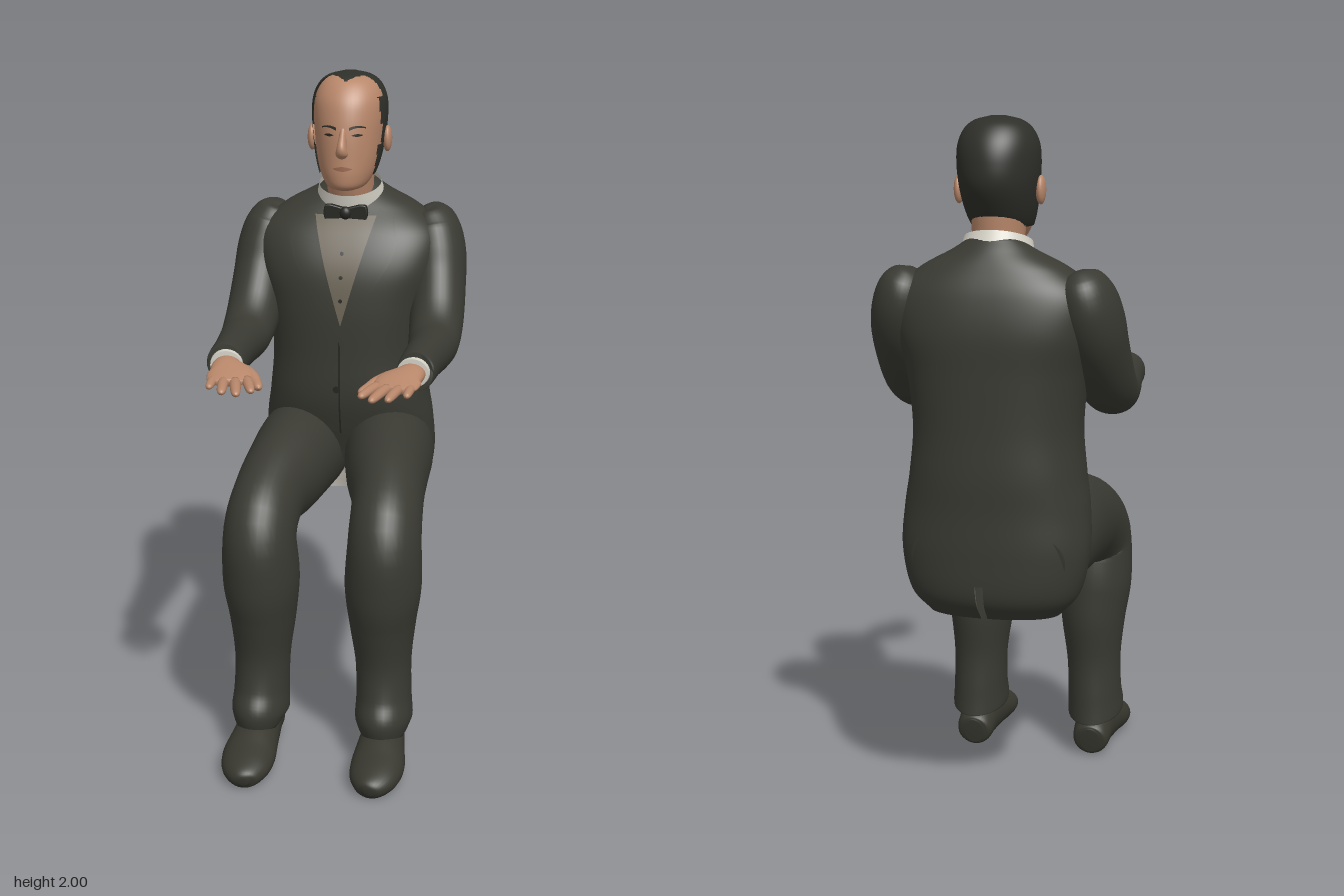
import * as THREE from 'three';

const mat = (name, color, side = THREE.FrontSide) => {
  const m = new THREE.MeshStandardMaterial({ color, side });
  m.name = name;
  return m;
};
const M = {
  suit: mat('suit cloth', 0x3a3a33, THREE.DoubleSide),
  shoe: mat('shoe leather', 0x37372f),
  skin: mat('skin', 0xb8876a),
  hair: mat('hair', 0x2f2f2a, THREE.DoubleSide),
  shirt: mat('shirt', 0xd2cfc4, THREE.DoubleSide),
  vest: mat('waistcoat and lining', 0x6c6456, THREE.DoubleSide),
  black: mat('tie and buttons', 0x262622, THREE.DoubleSide),
  lips: mat('lips', 0x98684f, THREE.DoubleSide),
};

// Smooth curves through rows of [x, y, z, radius across, radius deep, power]
function curves(rows) {
  const path = new THREE.CatmullRomCurve3(rows.map(r => new THREE.Vector3(r[0], r[1], r[2])), false, 'catmullrom');
  const size = new THREE.CatmullRomCurve3(rows.map(r => new THREE.Vector3(r[3], r[4], r[5] || 2)), false, 'catmullrom');
  return { path, size };
}

// Skin of superellipse rings, square to the path or level if flat
function loft(name, rows, material, o = {}) {
  const { segs = 28, rings = rows.length * 5, capStart = true, capEnd = true, flat = false, keep, move } = o;
  const { path, size } = curves(rows);
  const pos = [], idx = [], X = new THREE.Vector3(1, 0, 0);
  const pw = (c, e) => Math.sign(c) * Math.pow(Math.abs(c), e);
  for (let i = 0; i <= rings; i++) {
    const p = path.getPoint(i / rings), s = size.getPoint(i / rings);
    const t = flat ? new THREE.Vector3(0, 1, 0) : path.getTangent(i / rings);
    const u = X.clone().addScaledVector(t, -t.x).normalize(), v = t.clone().cross(u);
    for (let j = 0; j < segs; j++) {
      const a = j / segs * Math.PI * 2;
      const q = p.clone().addScaledVector(u, s.x * pw(Math.cos(a), 2 / s.z)).addScaledVector(v, s.y * pw(Math.sin(a), 2 / s.z));
      if (move) move(q);
      pos.push(q.x, q.y, q.z);
    }
  }
  for (let i = 0; i < rings; i++) for (let j = 0; j < segs; j++) {
    const a = i * segs + j, b = i * segs + (j + 1) % segs, c = b + segs, d = a + segs;
    const mid = k => (pos[a * 3 + k] + pos[b * 3 + k] + pos[c * 3 + k] + pos[d * 3 + k]) / 4;
    if (keep && !keep(mid(0), mid(1), mid(2))) continue;
    idx.push(a, b, d, b, c, d);
  }
  const cap = (start, flip) => {
    const n = pos.length / 3, c = [0, 0, 0];
    for (let j = 0; j < segs; j++) for (let k = 0; k < 3; k++) c[k] += pos[(start + j) * 3 + k] / segs;
    pos.push(...c);
    for (let j = 0; j < segs; j++) {
      const a = start + j, b = start + (j + 1) % segs;
      idx.push(...(flip ? [n, b, a] : [n, a, b]));
    }
  };
  if (capStart) cap(0, true);
  if (capEnd) cap(rings * segs, false);
  return surface(name, pos, idx, material);
}

function surface(name, pos, idx, material) {
  const g = new THREE.BufferGeometry();
  g.setAttribute('position', new THREE.Float32BufferAttribute(pos, 3));
  g.setIndex(idx);
  g.computeVertexNormals();
  return named(name, new THREE.Mesh(g, material));
}
function named(name, obj) { obj.name = name; return obj; }

// Thin sheet laid on the front of a flat loft; at(u, v) gives [x, y]
function patch(name, rows, material, off, at, nu = 10, nv = 20) {
  const { path, size } = curves(rows), pos = [], idx = [];
  for (let i = 0; i <= nv; i++) for (let j = 0; j <= nu; j++) {
    const [x, y] = at(j / nu, i / nv);
    let lo = 0, hi = 1;
    for (let k = 0; k < 24; k++) { const m = (lo + hi) / 2; if (path.getPoint(m).y < y) lo = m; else hi = m; }
    const s = size.getPoint(lo), r = Math.min(1, Math.abs(x) / s.x);
    pos.push(x, y, path.getPoint(lo).z + s.y * Math.pow(1 - Math.pow(r, s.z), 1 / s.z) + off);
  }
  for (let i = 0; i < nv; i++) for (let j = 0; j < nu; j++) {
    const a = i * (nu + 1) + j, b = a + 1, d = a + nu + 1, c = d + 1;
    idx.push(a, b, d, b, c, d);
  }
  return surface(name, pos, idx, material);
}

function ball(name, material, p, s) {
  const m = new THREE.Mesh(new THREE.SphereGeometry(1, 18, 12), material);
  m.position.set(...p); m.scale.set(...s);
  return named(name, m);
}

const COAT = [
  [0, .615, -.36, .19, .10, 2.3], [0, .68, -.355, .245, .15, 2.3], [0, .80, -.35, .27, .165, 2.3],
  [0, .92, -.33, .265, .185, 2.3], [0, 1.02, -.32, .25, .198, 2.4], [0, 1.15, -.317, .24, .198, 2.4],
  [0, 1.30, -.317, .255, .198, 2.5], [0, 1.42, -.325, .285, .19, 2.6], [0, 1.52, -.338, .285, .158, 2.5],
  [0, 1.59, -.352, .212, .115, 2.3], [0, 1.64, -.36, .12, .078, 2], [0, 1.672, -.368, .07, .045, 2]];
const HEAD = [
  [0, 1.655, -.225, .03, .045], [0, 1.667, -.235, .058, .08], [0, 1.70, -.26, .08, .112], [0, 1.75, -.28, .095, .131],
  [0, 1.81, -.297, .104, .145], [0, 1.87, -.303, .109, .142], [0, 1.92, -.305, .106, .128], [0, 1.96, -.307, .089, .1],
  [0, 1.984, -.308, .06, .066], [0, 1.996, -.308, .015, .016]];
const grow = (rows, d) => rows.map(r => [r[0], r[1], r[2], r[3] + d, r[4] + d, r[5] || 2]);

function buildTorso(g) {
  // Tails open between the legs at the front and are slit at the back
  const slit = (x, y, z) => !(y < .72 && z < -.4 && x > 0 && x < .016);
  const open = (x, y, z) => !(y < .8 && z > -.36 && Math.abs(x) < .15);
  g.add(loft('coat', COAT, M.suit, { segs: 96, rings: 80, capStart: false, flat: true, keep: (x, y, z) => slit(x, y, z) && open(x, y, z) }));
  g.add(loft('coatLining', grow(COAT.slice(0, 4), -.006), M.vest, { segs: 96, rings: 20, capStart: false, capEnd: false, flat: true,
    keep: (x, y, z) => y < .72 && z < -.36 && Math.abs(x) < .1 && slit(x, y, z) }));
  // Waistcoat in the V of the coat, with lapels beside it
  const vee = y => .09 * Math.max(0, y - 1.25) / .31;
  g.add(patch('waistcoat', COAT, M.vest, .004, (u, v) => { const y = 1.25 + .325 * v; return [(u * 2 - 1) * vee(y), y]; }));
  for (const s of [1, -1]) {
    g.add(patch('lapel', COAT, M.suit, .009, (u, v) => {
      const y = 1.21 + .39 * v, wide = .085 * Math.min(1, v * 1.5) * (v > .8 ? 1 - (v - .8) * 2.5 : 1);
      return [s * (vee(y) + u * wide), y - .02 * u];
    }, 8, 30));
  }
  g.add(patch('coatSeam', COAT, M.black, .002, (u, v) => [-.006 + u * .005, .9 + .33 * v], 1));
  const disc = (cx, cy, r) => (u, v) => [cx + r * u * Math.cos(v * 6.2832), cy + r * u * Math.sin(v * 6.2832)];
  for (const y of [1.33, 1.4, 1.47]) g.add(patch('waistcoatStud', COAT, M.black, .008, disc(0, y, .006), 2, 12));
  g.add(patch('coatButton', COAT, M.black, .006, disc(-.012, 1.05, .011), 2, 14));
  // Shirt collar and bow tie
  g.add(loft('shirtCollar', [[0, 1.575, -.345, .108, .105], [0, 1.62, -.328, .106, .102], [0, 1.664, -.312, .096, .094]], M.shirt,
    { segs: 40, capStart: false, capEnd: false }));
  const bow = new THREE.Shape();
  bow.moveTo(0, .011);
  bow.bezierCurveTo(.03, .016, .045, .026, .06, .02);
  bow.quadraticCurveTo(.068, 0, .06, -.02);
  bow.bezierCurveTo(.045, -.026, .03, -.016, 0, -.011);
  bow.bezierCurveTo(-.03, -.016, -.045, -.026, -.06, -.02);
  bow.quadraticCurveTo(-.068, 0, -.06, .02);
  bow.bezierCurveTo(-.045, .026, -.03, .016, 0, .011);
  const tie = new THREE.Mesh(new THREE.ExtrudeGeometry(bow, { depth: .012, bevelThickness: .005, bevelSize: .004, bevelSegments: 2 }), M.black);
  tie.position.set(0, 1.582, -.228);
  g.add(named('bowTie', tie), ball('bowTieKnot', M.black, [0, 1.582, -.214], [.018, .02, .016]));
}

function buildHead(g) {
  g.add(loft('neck', [[0, 1.58, -.335, .07, .075], [0, 1.66, -.315, .072, .085], [0, 1.74, -.305, .078, .1]], M.skin));
  g.add(loft('head', HEAD, M.skin, { segs: 48, rings: 50, flat: true }));
  // Receding hair with a centre peak and long sideburns
  const hairline = (x, y) => {
    if (y > 1.93) return -.265 + .052 * Math.max(0, 1 - Math.abs(x) / .05);
    if (y > 1.85) return -.235;
    return y > 1.79 ? -.25 : -.225;
  };
  g.add(loft('hair', grow(HEAD, .006).map(r => [r[0], r[1] + .004, ...r.slice(2)]), M.hair, { segs: 96, rings: 110,
    capStart: false, flat: true, keep: (x, y, z) => z < hairline(x, y) && y > 1.70 - .1 * Math.min(0, z + .3) }));
  g.add(loft('nose', [[0, 1.85, -.174, .01, .012], [0, 1.82, -.16, .011, .018], [0, 1.787, -.138, .015, .02],
    [0, 1.772, -.141, .019, .016], [0, 1.763, -.152, .012, .01]], M.skin));
  const lens = (cx, cy, w, h) => (u, v) => [cx + w * (2 * u - 1), cy + h * (2 * v - 1) * Math.sin(Math.PI * u)];
  g.add(patch('mouth', HEAD, M.lips, .003, lens(0, 1.725, .031, .007), 14, 4));
  for (const s of [1, -1]) {
    g.add(ball('ear', M.skin, [s * .116, 1.8, -.297], [.014, .04, .026]));
    g.add(patch('eye', HEAD, M.black, .002, lens(s * .043, 1.824, .017, .004), 12, 4));
    g.add(patch('eyebrow', HEAD, M.hair, .004, (u, v) =>
      [s * (.02 + .046 * u), 1.843 + .006 * Math.sin(u * 2.8) + (v - .5) * .009 * (1 - .6 * u)], 10, 2));
  }
}

function buildArm(s) {
  const g = named(s > 0 ? 'leftArm' : 'rightArm', new THREE.Group());
  const part = (name, rows, m, o) => g.add(loft(name, rows.map(([x, ...r]) => [s * x, ...r]), m, o));
  part('sleeve', [[.235, 1.588, -.37, .012, .018], [.241, 1.57, -.37, .056, .075], [.256, 1.515, -.363, .083, .108],
    [.269, 1.44, -.335, .091, .115], [.278, 1.36, -.285, .087, .105], [.285, 1.27, -.2, .083, .09], [.288, 1.22, -.1, .077, .073],
    [.287, 1.215, 0, .068, .066], [.28, 1.22, .12, .06, .061], [.275, 1.222, .24, .055, .058], [.275, 1.222, .248, .046, .047]],
    M.suit, { segs: 36 });
  part('shirtCuff', [[.273, 1.222, .22, .048, .044], [.27, 1.222, .245, .048, .044], [.268, 1.222, .266, .046, .041]], M.shirt, { segs: 24 });
  part('palm', [[.268, 1.222, .25, .037, .028], [.26, 1.222, .29, .046, .028], [.24, 1.219, .335, .065, .022],
    [.234, 1.214, .38, .063, .016], [.23, 1.212, .41, .05, .01]], M.skin);
  // Fingers: base x, z and tip x, z
  for (const [bx, bz, tx, tz, r] of [[.184, .375, .15, .48, .015], [.213, .395, .184, .517, .0155],
    [.246, .395, .228, .505, .015], [.278, .375, .274, .458, .0135]]) {
    const at = (k, y, w) => [bx + (tx - bx) * k, y, bz + (tz - bz) * k, r * w, r * w * .85];
    part('finger', [at(0, 1.213, 1), at(.4, 1.213, 1), at(.8, 1.211, .85), at(.95, 1.21, .6), at(1, 1.21, .1)], M.skin, { segs: 12, rings: 14 });
  }
  part('thumb', [[.205, 1.217, .295, .018, .018], [.178, 1.21, .335, .02, .018], [.158, 1.205, .375, .016, .014],
    [.145, 1.203, .408, .012, .011], [.141, 1.203, .42, .002, .002]], M.skin, { segs: 14 });
  return g;
}

function buildLeg(s) {
  const g = named(s > 0 ? 'leftLeg' : 'rightLeg', new THREE.Group());
  const part = (name, rows, m, o) => g.add(loft(name, rows.map(([x, ...r]) => [s * x, ...r]), m, o));
  part('trouserLeg', [[.12, .775, -.45, .1, .11], [.13, .805, -.34, .132, .15], [.14, .82, -.22, .14, .158],
    [.157, .805, -.05, .126, .15], [.179, .777, .10, .108, .131], [.187, .70, .213, .108, .133], [.184, .56, .215, .114, .14],
    [.182, .44, .203, .1, .128], [.185, .31, .2, .084, .108], [.188, .2, .205, .083, .117], [.19, .13, .217, .086, .135],
    [.19, .115, .217, .07, .11]], M.suit, { segs: 36, rings: 64 });
  part('shoe', [[.19, .05, .108, .03, .04], [.19, .053, .122, .055, .053], [.19, .07, .2, .062, .07], [.192, .06, .3, .072, .062],
    [.194, .045, .38, .08, .052], [.19, .035, .45, .07, .042], [.185, .028, .495, .042, .03], [.183, .025, .508, .012, .012]],
    M.shoe, { move: q => { q.y = Math.max(q.y, 0); } });
  return g;
}

export function createModel() {
  const model = named('seatedMan', new THREE.Group());
  const torso = named('torso', new THREE.Group()), head = named('headGroup', new THREE.Group());
  buildTorso(torso);
  buildHead(head);
  model.add(torso, head);
  for (const s of [1, -1]) model.add(buildArm(s), buildLeg(s));
  return model;
}
